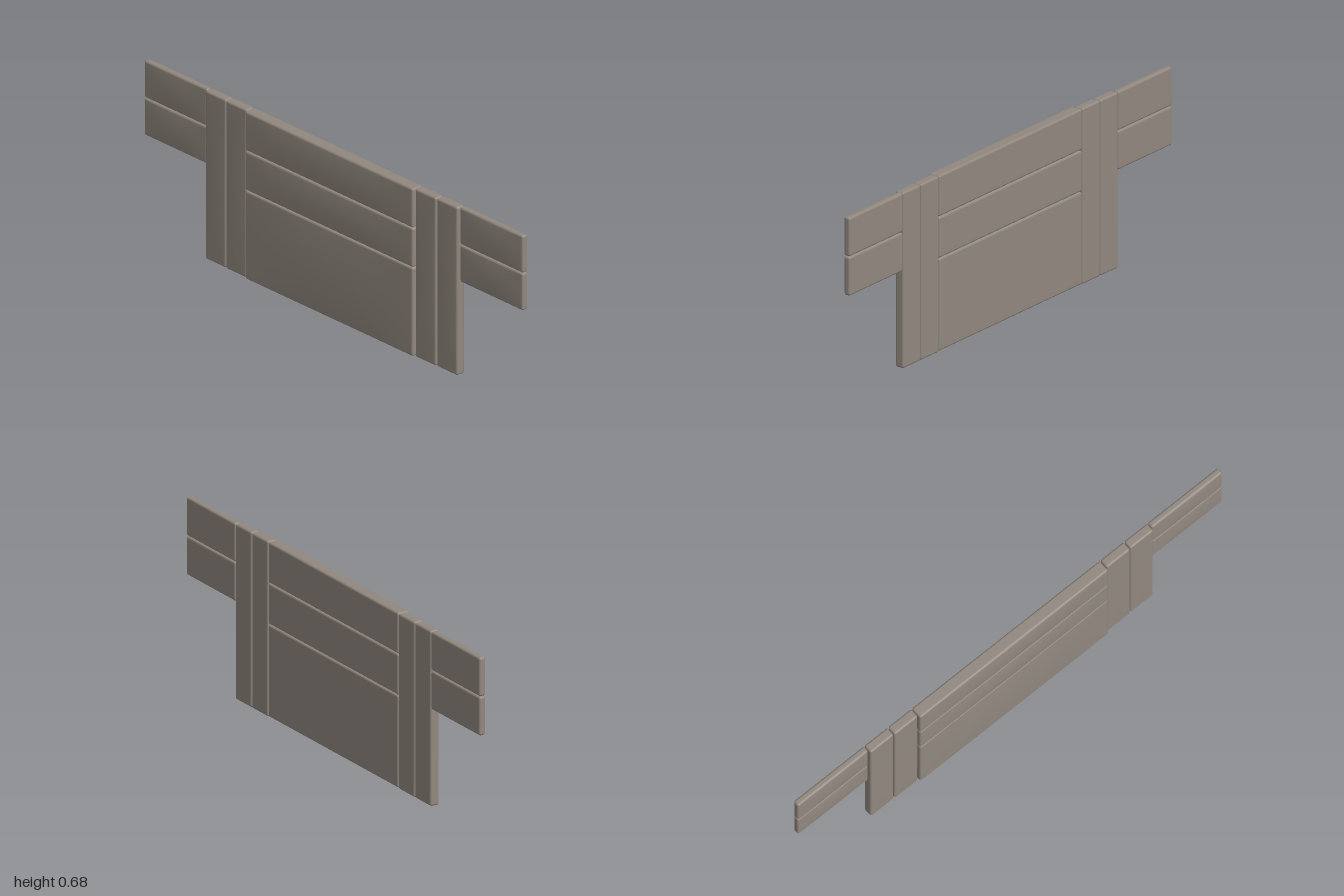
import * as THREE from 'three';
import { mergeVertices } from 'three/addons/utils/BufferGeometryUtils.js';

const ROUND = 3; // segments across each rounded edge
const BACK = -0.027; // shared back plane of all slabs

// Rounded slab whose front face swells gently towards its middle
function slabGeometry(w, h, d, r, bulge) {
  const half = [w / 2, h / 2, d / 2];
  const flat = [16, 12, 1];
  const segs = flat.map((f) => f + 2 * ROUND);
  const geo = new THREE.BoxGeometry(1, 1, 1, ...segs);
  geo.deleteAttribute('uv');
  geo.deleteAttribute('normal');
  const pos = geo.attributes.position;
  const p = new THREE.Vector3();
  const core = new THREE.Vector3();

  // Place grid lines closely in the rounded edges, evenly in between
  const remap = (v, axis) => {
    const i = Math.round((v + 0.5) * segs[axis]);
    const inner = half[axis] - r;
    const edge = (k) => r * Math.tan((k / ROUND) * Math.PI / 4);
    if (i < ROUND) return -inner - edge(ROUND - i);
    if (i > segs[axis] - ROUND) return inner + edge(i - segs[axis] + ROUND);
    return -inner + 2 * inner * (i - ROUND) / flat[axis];
  };

  for (let i = 0; i < pos.count; i++) {
    p.fromBufferAttribute(pos, i);
    p.set(remap(p.x, 0), remap(p.y, 1), remap(p.z, 2));
    core.set(
      THREE.MathUtils.clamp(p.x, -half[0] + r, half[0] - r),
      THREE.MathUtils.clamp(p.y, -half[1] + r, half[1] - r),
      THREE.MathUtils.clamp(p.z, -half[2] + r, half[2] - r)
    );
    p.sub(core).normalize().multiplyScalar(r).add(core);
    if (p.z > half[2] - r) {
      p.z += bulge * (1 - (p.x / half[0]) ** 2) * (1 - (p.y / half[1]) ** 2);
    }
    pos.setXYZ(i, p.x, p.y, p.z);
  }
  const merged = mergeVertices(geo, 1e-5);
  merged.computeVertexNormals();
  return merged;
}

export function createModel() {
  const group = new THREE.Group();
  const stone = new THREE.MeshStandardMaterial({ color: 0x91887f });
  stone.name = 'warm grey';

  const addSlab = (name, x0, x1, y0, y1, front, bulge) => {
    const depth = front - BACK;
    const mesh = new THREE.Mesh(slabGeometry(x1 - x0, y1 - y0, depth, 0.008, bulge), stone);
    mesh.name = name;
    mesh.position.set((x0 + x1) / 2, (y0 + y1) / 2, BACK + depth / 2);
    group.add(mesh);
  };

  // Central panels, the thickest
  addSlab('lowerCentrePanel', -0.443, 0.443, 0.002, 0.357, 0.022, 0.006);
  addSlab('middleCentrePanel', -0.443, 0.443, 0.359, 0.516, 0.022, 0.005);
  addSlab('upperCentrePanel', -0.443, 0.443, 0.518, 0.675, 0.022, 0.005);

  // Upright strips and side wings, mirrored
  for (const [side, s] of [['left', 1], ['right', -1]]) {
    const add = (name, a, b, ...rest) =>
      addSlab(side + name, Math.min(s * a, s * b), Math.max(s * a, s * b), ...rest);
    add('InnerStrip', 0.445, 0.555, 0, 0.675, 0.012, 0.002);
    add('OuterStrip', 0.557, 0.666, 0, 0.675, 0.010, 0.002);
    add('LowerWing', 0.668, 1, 0.375, 0.524, -0.001, 0.004);
    add('UpperWing', 0.668, 1, 0.526, 0.675, -0.001, 0.004);
  }
  return group;
}
